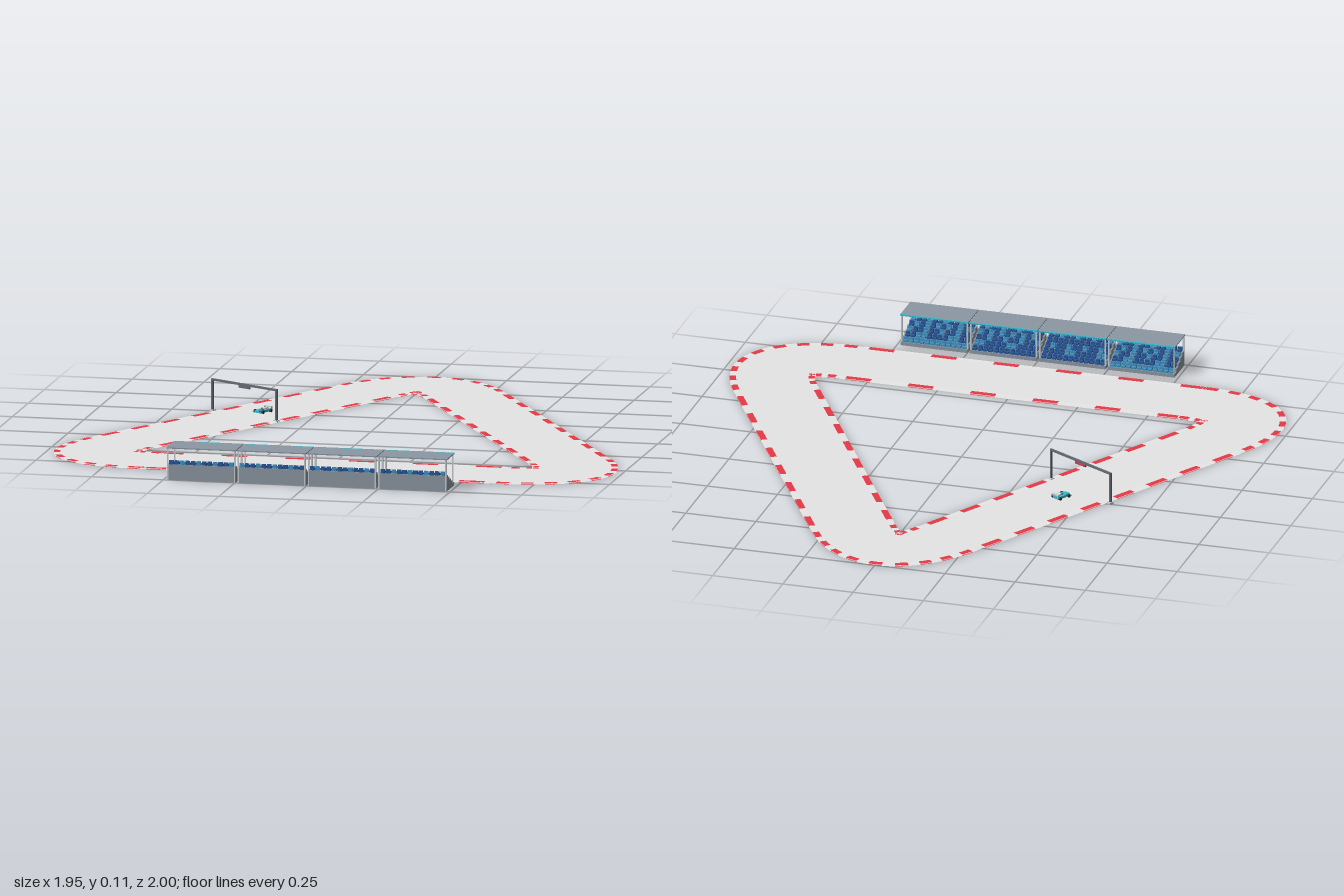
import * as THREE from 'three';
import { mergeGeometries } from 'three/addons/utils/BufferGeometryUtils.js';

const material = (name, color, side = THREE.FrontSide) => {
  const m = new THREE.MeshStandardMaterial({ color, side });
  m.name = name;
  return m;
};

const boxGeo = (w, h, d, x, y, z) => new THREE.BoxGeometry(w, h, d).translate(x, y, z);

export function createModel() {
  const mats = {
    asphalt: material('asphalt grey', 0xe5e5e5, THREE.DoubleSide),
    kerb: material('kerb red', 0xe63946, THREE.DoubleSide),
    white: material('white', 0xeeeeee, THREE.DoubleSide),
    stand: material('stand grey', 0x8c97a3),
    navy: material('seat navy', 0x24569c),
    blue: material('seat blue', 0x3f93c4),
    teal: material('teal', 0x38bace),
    dark: material('dark metal', 0x646b72),
    steel: material('light steel', 0xc8ced3),
    black: material('tyre black', 0x2f3135),
  };
  const model = new THREE.Group();
  model.name = 'raceCircuit';
  const add = (parent, name, geo, mat) => {
    const mesh = new THREE.Mesh(geo, mat);
    mesh.name = name;
    parent.add(mesh);
    return mesh;
  };

  // Centre line: a triangle with curved corners, in (x, z)
  const HALF = 0.145, CUT = 0.346, KERB = 0.022;
  const corners = [[0, -1.005], [-0.945, 0.681], [0.945, 0.681]].map(c => new THREE.Vector2(...c));
  const toward = (a, b) => a.clone().add(b.clone().sub(a).setLength(CUT));
  const pieces = [];
  corners.forEach((c, i) => {
    const prev = corners[(i + 2) % 3], next = corners[(i + 1) % 3];
    const bend = new THREE.QuadraticBezierCurve(toward(c, prev), c, toward(c, next));
    pieces.push({ curve: bend, dashes: 9, fill: 0.52, shift: 0 });
    const line = new THREE.LineCurve(toward(c, next), toward(next, c));
    pieces.push(i === 1 ? { curve: line, dashes: 5.4, fill: 0.4, shift: -0.017 }
      : { curve: line, dashes: 8, fill: 0.53, shift: 0 });
  });

  // Flat strip between two sideways offsets from a curve
  const strip = (curve, t0, t1, inner, outer, y, n) => {
    const at = (t, off) => {
      const p = curve.getPoint(t), d = curve.getTangent(t);
      return [p.x - d.y * off, y, p.y + d.x * off];
    };
    const pos = [];
    for (let i = 0; i < n; i++) {
      const a = t0 + (t1 - t0) * i / n, b = t0 + (t1 - t0) * (i + 1) / n;
      const i0 = at(a, inner), o0 = at(a, outer), i1 = at(b, inner), o1 = at(b, outer);
      pos.push(...i0, ...o0, ...i1, ...i1, ...o0, ...o1);
    }
    const g = new THREE.BufferGeometry();
    g.setAttribute('position', new THREE.Float32BufferAttribute(pos, 3));
    g.computeVertexNormals();
    return g;
  };

  // Track surface, with red and white kerbs on both edges, above and below it
  const road = [], redKerb = [], whiteKerb = [];
  for (const { curve, dashes, fill, shift } of pieces) {
    const bend = !curve.isLineCurve, count = Math.ceil(dashes), n = bend ? 4 : 1;
    road.push(strip(curve, 0, 1, -HALF, HALF, 0.002, bend ? 40 : 1));
    for (let k = 0; k < count; k++) {
      const mid = 0.5 + shift + (k - (count - 1) / 2) / dashes;
      const t0 = mid - fill / dashes / 2, t1 = mid + fill / dashes / 2;
      const gapEnd = Math.min(1, t0 + 1 / dashes);
      for (const y of [0, 0.004]) for (const side of [-HALF, HALF - KERB]) {
        redKerb.push(strip(curve, t0, t1, side, side + KERB, y, n));
        if (gapEnd > t1) whiteKerb.push(strip(curve, t1, gapEnd, side, side + KERB, y, n));
      }
    }
  }
  add(model, 'track', mergeGeometries(road), mats.asphalt);
  add(model, 'redKerbs', mergeGeometries(redKerb), mats.kerb);
  add(model, 'whiteKerbs', mergeGeometries(whiteKerb), mats.white);

  // Four covered grandstand bays, seats facing the track
  const W = 0.238, ROWS = 5, SEATS = 12, STEP = 0.116 / ROWS;
  for (let b = 0; b < 4; b++) {
    const bay = new THREE.Group();
    bay.name = 'grandstandBay';
    bay.position.set((b - 1.5) * 0.2455, 0, 0.882);
    model.add(bay);
    const steps = [], seats = [[], []];
    for (let r = 0; r < ROWS; r++) {
      const h = 0.012 + 0.0105 * r, z = STEP * (r + 0.5);
      steps.push(boxGeo(W, h, STEP, 0, h / 2, z));
      for (let s = 0; s < SEATS; s++) {
        const x = (s - (SEATS - 1) / 2) * (W - 0.01) / SEATS;
        const tone = seats[(s * 3 + r * 5 + b + ((s * r) >> 1)) % 3 ? 0 : 1];
        tone.push(boxGeo(0.015, 0.006, 0.012, x, h + 0.003, z - 0.002));
        tone.push(boxGeo(0.015, 0.014, 0.005, x, h + 0.007, z + 0.0065));
      }
    }
    add(bay, 'steps', mergeGeometries(steps), mats.stand);
    add(bay, 'navySeats', mergeGeometries(seats[0]), mats.navy);
    add(bay, 'blueSeats', mergeGeometries(seats[1]), mats.blue);
    add(bay, 'roof', boxGeo(W + 0.004, 0.004, 0.114, 0, 0.111, 0.061), mats.stand);
    add(bay, 'roofTrim', boxGeo(W + 0.004, 0.004, 0.006, 0, 0.1112, 0.001), mats.teal);
    const posts = [];
    for (const sx of [-1, 1]) for (const z of [0.006, 0.114])
      posts.push(boxGeo(0.005, 0.109, 0.005, sx * (W / 2 - 0.0025), 0.0545, z));
    add(bay, 'roofPosts', mergeGeometries(posts), mats.steel);
  }

  // Start gantry spanning the left straight
  const gantry = new THREE.Group();
  gantry.name = 'startGantry';
  gantry.position.set(-0.479, 0, -0.173);
  gantry.rotation.y = -0.513;
  model.add(gantry);
  for (const s of [-1, 1]) {
    add(gantry, 'gantryPost', boxGeo(0.007, 0.112, 0.007, s * 0.146, 0.056, 0), mats.dark);
    add(gantry, 'gantryFoot', boxGeo(0.016, 0.007, 0.016, s * 0.146, 0.0035, 0), mats.steel);
  }
  add(gantry, 'gantryBeam', boxGeo(0.299, 0.007, 0.007, 0, 0.1105, 0), mats.dark);
  add(gantry, 'lightPanel', boxGeo(0.05, 0.01, 0.006, 0, 0.103, 0), mats.dark);
  for (let i = 0; i < 5; i++) {
    const lamp = new THREE.CylinderGeometry(0.0045, 0.0045, 0.003, 16).rotateX(Math.PI / 2);
    add(gantry, 'startLight', lamp.translate((i - 2) * 0.0095, 0.103, -0.004), mats.kerb);
  }

  // Open-wheel car waiting behind the gantry
  const car = new THREE.Group();
  car.name = 'raceCar';
  car.position.set(-0.432, 0.003, -0.247);
  car.rotation.y = -0.513;
  model.add(car);
  const outline = new THREE.Shape([[-0.011, -0.028], [0.011, -0.028], [0.016, -0.013], [0.016, 0.006],
    [0.012, 0.014], [0.009, 0.03], [-0.009, 0.03], [-0.012, 0.014], [-0.016, 0.006], [-0.016, -0.013]]
    .map(p => new THREE.Vector2(...p)));
  const body = new THREE.ExtrudeGeometry(outline, { depth: 0.008, bevelEnabled: false });
  add(car, 'carBody', body.rotateX(Math.PI / 2).translate(0, 0.011, 0), mats.teal);
  add(car, 'engineCover', boxGeo(0.011, 0.006, 0.018, 0, 0.013, -0.013), mats.white);
  add(car, 'cockpit', boxGeo(0.008, 0.002, 0.009, 0, 0.0115, 0.003), mats.black);
  add(car, 'frontWing', boxGeo(0.036, 0.002, 0.007, 0, 0.004, 0.029), mats.teal);
  add(car, 'rearWing', boxGeo(0.032, 0.003, 0.008, 0, 0.018, -0.027), mats.steel);
  for (const s of [-1, 1]) {
    add(car, 'wingPlate', boxGeo(0.002, 0.012, 0.008, s * 0.015, 0.0135, -0.027), mats.steel);
    for (const z of [-0.021, 0.019]) {
      const wheel = new THREE.CylinderGeometry(0.006, 0.006, 0.006, 14).rotateZ(Math.PI / 2);
      add(car, 'wheel', wheel.translate(s * 0.018, 0.006, z), mats.black);
    }
  }
  return model;
}
